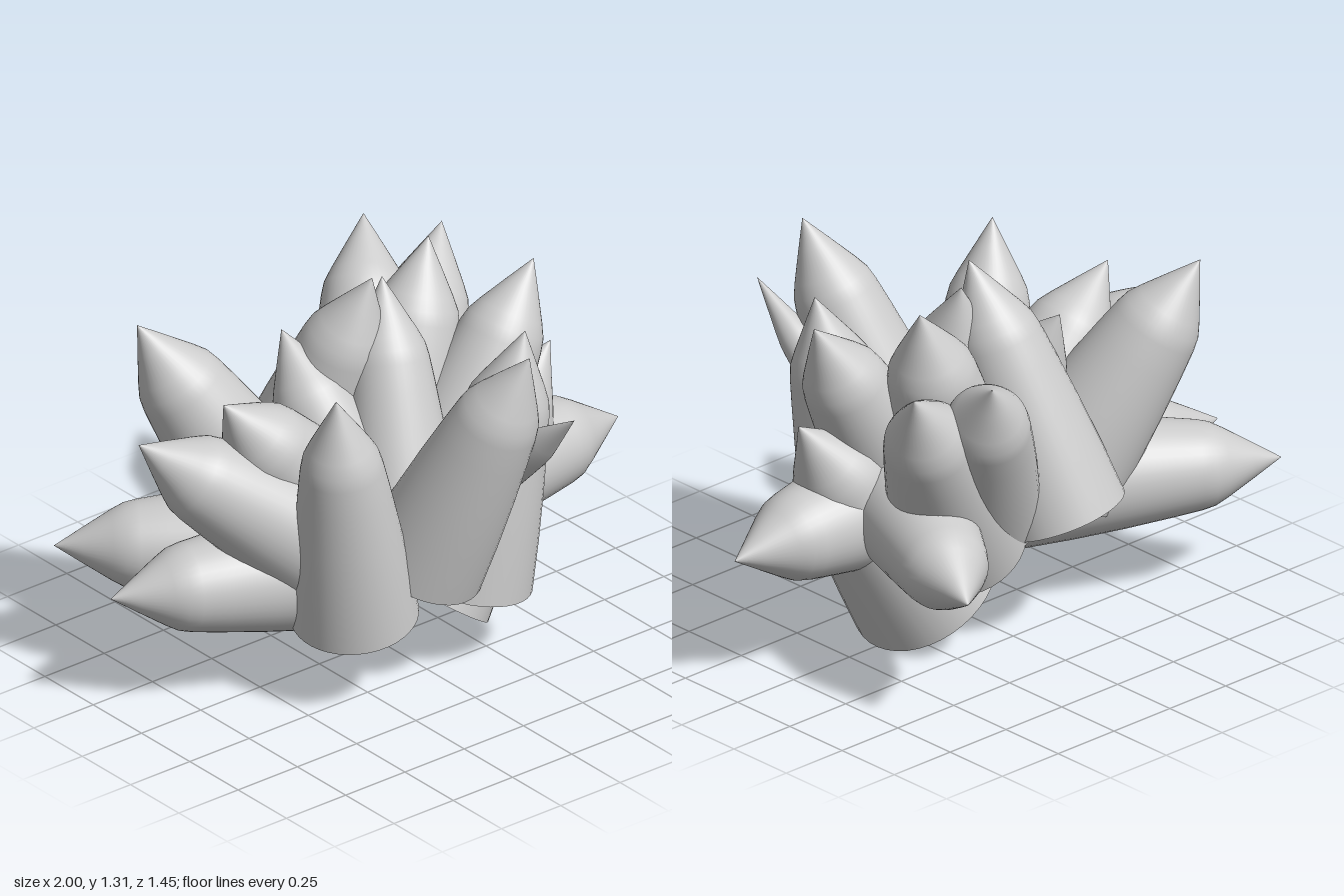
import * as THREE from 'three';

// Unit-length profile of one pointed scale: [radius, height], open at the base
const PROFILE = [
  [0.222, 0], [0.207, 0.2], [0.187, 0.4], [0.165, 0.58],
  [0.15, 0.69], [0.139, 0.74], [0.115, 0.79], [0.057, 0.897], [0, 1],
];

// Each spike: name, base centre, tip, then girth and base flare where not 1
const SPIKES = [
  // outer ring, nearly level
  ['sideSpikeLeft', [0.10, 0.515, 0.02], [0.995, 0.50, 0.02], 1, 1.08],
  ['sideSpikeRight', [-0.16, 0.39, 0.08], [-1.0, 0.43, -0.16]],
  ['backSpikeLeft', [0.27, 0.55, 0.05], [0.65, 0.49, -0.73]],
  ['backSpikeRight', [-0.20, 0.42, -0.04], [-0.93, 0.445, -0.54]],
  ['lowSpikeLeft', [0.165, 0.155, -0.005], [0.70, 0.89, 0.03], 0.96, 1.25],
  // middle ring, leaning outwards
  ['midSpikeRight', [-0.24, 0.45, 0.12], [-0.89, 0.97, -0.15]],
  ['midSpikeBackRight', [-0.27, 0.46, -0.16], [-0.66, 1.215, -0.44]],
  ['midSpikeInnerRight', [-0.07, 0.41, -0.01], [-0.63, 1.08, -0.03]],
  ['midSpikeLeft', [0.18, 0.44, 0.03], [0.63, 1.22, 0.03], 0.96],
  ['midSpikeBackLeft', [0.19, 0.40, -0.20], [0.65, 1.14, -0.47]],
  ['midSpikeBack', [0.12, 0.49, -0.20], [0.45, 1.17, -0.63], 0.96],
  ['midSpikeFront', [0.19, 0.42, 0.06], [0.24, 1.04, 0.72], 0.42],
  // upright front scales
  ['frontSpikeRight', [-0.28, 0.29, 0.22], [-0.44, 1.175, 0.32], 0.9, 1.06],
  ['frontSpikeLeft', [0.19, 0.27, 0.22], [0.37, 1.155, 0.305], 0.93, 1.08],
  ['frontSpikeCentre', [-0.03, 0.42, 0.265], [0.14, 1.26, 0.61], 0.95],
  // crown
  ['crownSpikeBack', [-0.125, 0.44, -0.35], [0.03, 1.31, -0.07], 0.98],
  ['crownSpikeLeft', [0.10, 0.45, -0.10], [0.39, 1.28, -0.22]],
  ['crownSpikeCentre', [0.0, 0.42, 0.13], [0.12, 1.26, -0.13], 0.9],
  ['crownSpikeRight', [-0.09, 0.38, 0.13], [-0.19, 1.11, -0.27], 0.9],
];

// Lathed scale of true size, widened towards its base by the flare
function spikeGeometry(length, girth, flare) {
  const points = PROFILE.map(([r, h]) =>
    new THREE.Vector2(r * girth * (1 + (flare - 1) * (1 - h)), h * length));
  return new THREE.LatheGeometry(points, 40);
}

export function createModel() {
  const model = new THREE.Group();
  model.name = 'spikeCluster';
  const material = new THREE.MeshStandardMaterial({ color: 0xcccccc, side: THREE.DoubleSide });
  const up = new THREE.Vector3(0, 1, 0);

  for (const [name, base, tip, girth = 1, flare = 1] of SPIKES) {
    const start = new THREE.Vector3(...base);
    const axis = new THREE.Vector3(...tip).sub(start);
    const spike = new THREE.Mesh(spikeGeometry(axis.length(), girth, flare), material);
    spike.name = name;
    spike.position.copy(start);
    spike.quaternion.setFromUnitVectors(up, axis.normalize());
    model.add(spike);
  }
  return model;
}
